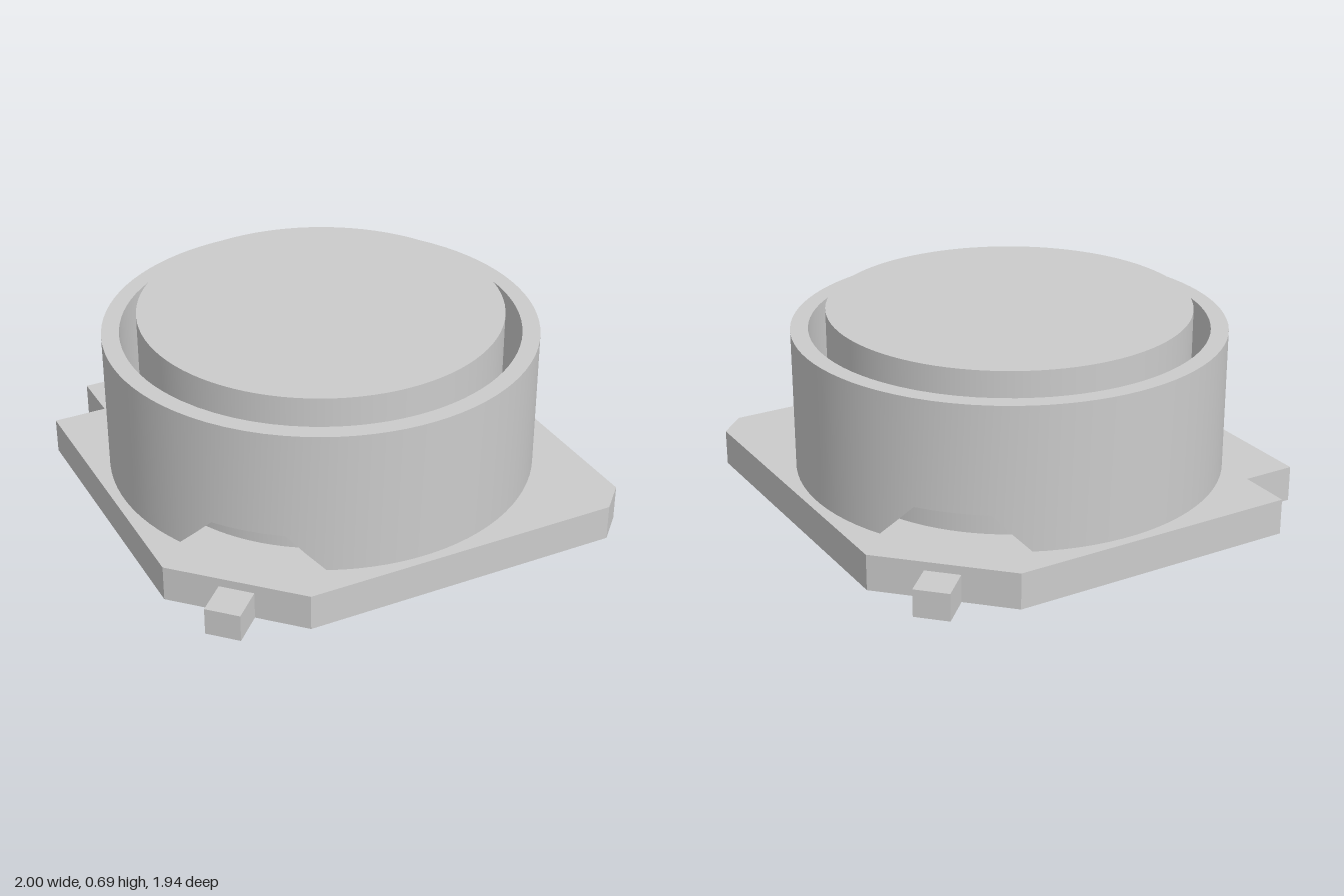
import * as THREE from 'three';
import { toCreasedNormals } from 'three/addons/utils/BufferGeometryUtils.js';

const PLATE_H = 0.125, RING_TOP = 0.62, CENTRE_X = -0.035;
const RING_OUTER = 0.74, RING_INNER = 0.68, CORE_R = 0.62, CORE_TOP = 0.685;

// Angles around a circle, with stations at fixed x so notch edges run straight through the wall
function stations(r) {
  const q = [0, 0.0625, 0.125, 0.1875, 0.25].map(x => Math.asin(x / r));
  const a0 = q[4];
  for (let k = 1; k <= 18; k++) q.push(a0 + (Math.PI / 2 - a0) * k / 18);
  const half = [...q, ...q.slice(0, -1).reverse().map(a => Math.PI - a)];
  return [...half, ...half.slice(1).map(a => Math.PI + a)];
}

// Square-section ring whose bottom edge rises into a trapezoid notch at front and back
function ringGeometry() {
  const outer = stations(RING_OUTER), inner = stations(RING_INNER);
  const corner = (r, a, top) => {
    const x = r * Math.sin(a);
    const bottom = PLATE_H + THREE.MathUtils.clamp(0.25 - Math.abs(x), 0, 0.125);
    return [x, top ? RING_TOP : bottom, r * Math.cos(a)];
  };
  const section = i => [
    corner(RING_OUTER, outer[i], false), corner(RING_OUTER, outer[i], true),
    corner(RING_INNER, inner[i], true), corner(RING_INNER, inner[i], false),
  ];
  const pos = [];
  for (let i = 0; i < outer.length - 1; i++) {
    const a = section(i), b = section(i + 1);
    for (let k = 0; k < 4; k++) {
      const n = (k + 1) % 4;
      pos.push(...a[k], ...b[k], ...b[n], ...a[k], ...b[n], ...a[n]);
    }
  }
  const g = new THREE.BufferGeometry();
  g.setAttribute('position', new THREE.Float32BufferAttribute(pos, 3));
  return toCreasedNormals(g, 0.5);
}

export function createModel() {
  const group = new THREE.Group();
  const material = new THREE.MeshStandardMaterial({ color: 0xcccccc });
  const add = (name, geometry, x = 0, y = 0, z = 0) => {
    const mesh = new THREE.Mesh(geometry, material);
    mesh.name = name;
    mesh.position.set(x, y, z);
    group.add(mesh);
  };

  // Base plate with cut corners and a V notch on one corner
  const outline = [
    [-0.285, -0.845], [0.213, -0.845], [1, -0.063], [1, 0.063], [0.213, 0.845],
    [-0.285, 0.845], [-1, 0.132], [-0.868, 0], [-1, -0.132],
  ].map(([x, y]) => new THREE.Vector2(x, y));
  const plate = new THREE.ExtrudeGeometry(new THREE.Shape(outline), { depth: PLATE_H, bevelEnabled: false });
  plate.rotateX(-Math.PI / 2);
  add('basePlate', plate);

  // Terminal tabs at front and back
  for (const [name, s] of [['frontTab', 1], ['backTab', -1]]) {
    add(name, new THREE.BoxGeometry(0.12, 0.095, 0.125), CENTRE_X, 0.0475, s * 0.9075);
  }

  // Outer ring and the core standing inside it
  add('outerRing', ringGeometry(), CENTRE_X);
  add('core', new THREE.CylinderGeometry(CORE_R, CORE_R, CORE_TOP - PLATE_H, 96), CENTRE_X, (CORE_TOP + PLATE_H) / 2);

  return group;
}
